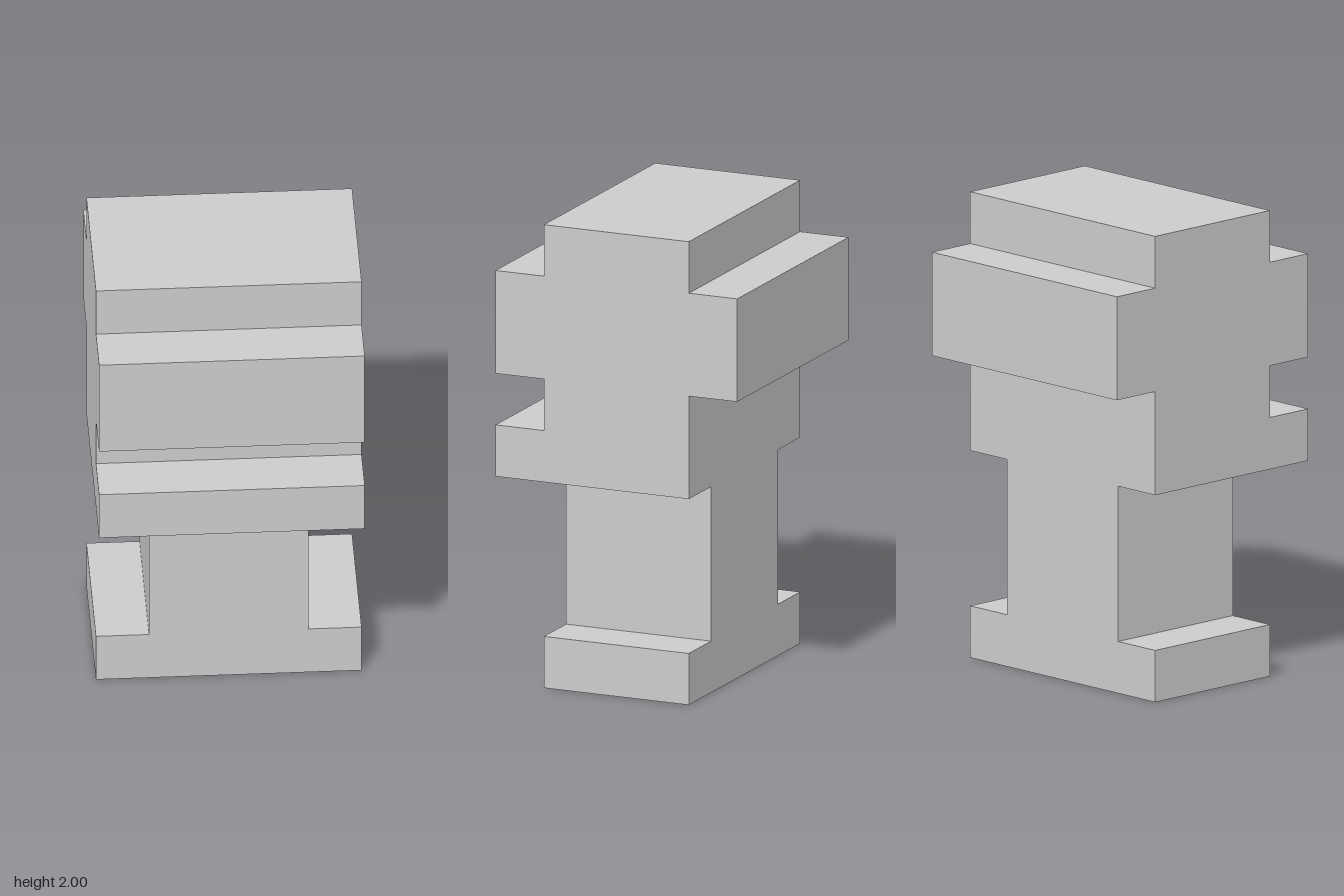
import * as THREE from 'three';

const U = 2 / 9; // grid step: the model is nine steps tall

// Extrude a stepped outline (in grid steps) centred on its depth.
function prism(name, outline, depth, material) {
  const shape = new THREE.Shape(outline.map(([a, y]) => new THREE.Vector2(a * U, y * U)));
  const geometry = new THREE.ExtrudeGeometry(shape, { depth: depth * U, bevelEnabled: false });
  geometry.translate(0, 0, -depth * U / 2);
  const mesh = new THREE.Mesh(geometry, material);
  mesh.name = name;
  return mesh;
}

export function createModel() {
  const group = new THREE.Group();
  group.name = 'blockFigure';
  const material = new THREE.MeshStandardMaterial({ color: 0xcccccc, flatShading: true });

  // Wide foot and narrower stem, outlined from the front
  group.add(prism('footAndStem', [
    [-2.5, 0], [2.5, 0], [2.5, 1], [1.5, 1], [1.5, 4],
    [-1.5, 4], [-1.5, 1], [-2.5, 1],
  ], 3, material));

  // Head with front and back brow bands and a front lower ledge, outlined from the side
  const head = prism('head', [
    [-1.5, 4], [2.5, 4], [2.5, 5], [1.5, 5], [1.5, 6], [2.5, 6], [2.5, 8], [1.5, 8],
    [1.5, 9], [-1.5, 9], [-1.5, 8], [-2.5, 8], [-2.5, 6], [-1.5, 6],
  ], 5, material);
  head.geometry.rotateY(-Math.PI / 2); // outline's first axis becomes +z
  group.add(head);

  return group;
}
